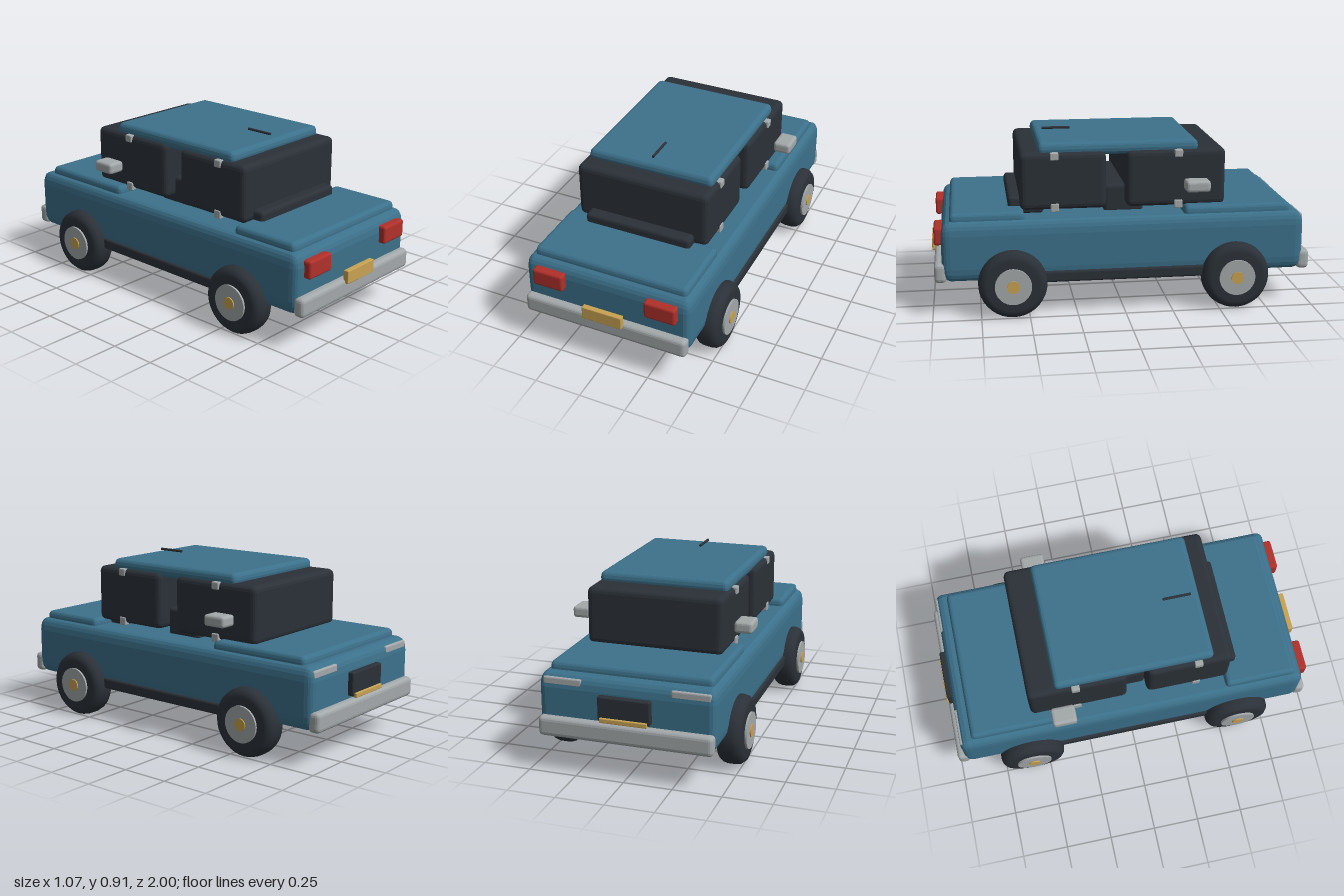
import * as THREE from 'three';
import { RoundedBoxGeometry } from 'three/addons/geometries/RoundedBoxGeometry.js';

const mat = (name, color) => {
  const m = new THREE.MeshStandardMaterial({ color });
  m.name = name;
  return m;
};

export function createModel() {
  const car = new THREE.Group();
  car.name = 'car';
  const blue = mat('body blue', 0x3c718b);
  const dark = mat('charcoal', 0x2b3138);
  const grey = mat('metal grey', 0xa3a8aa);
  const red = mat('lamp red', 0xb0302a);
  const gold = mat('brass', 0xc8a252);

  // Bevelled box given by its extents; r holds the bevel size along each axis
  function box(name, material, [x0, x1], [y0, y1], [z0, z1], r) {
    const [rx, ry, rz] = Array.isArray(r) ? r : [r, r, r];
    const geo = new RoundedBoxGeometry((x1 - x0) / rx, (y1 - y0) / ry, (z1 - z0) / rz, 2, 1);
    geo.scale(rx, ry, rz);
    geo.computeVertexNormals();
    const mesh = new THREE.Mesh(geo, material);
    mesh.name = name;
    mesh.position.set((x0 + x1) / 2, (y0 + y1) / 2, (z0 + z1) / 2);
    car.add(mesh);
    return mesh;
  }
  // The same box on both sides of the car
  function pair(name, material, [x0, x1], y, z, r) {
    box(name + 'Left', material, [x0, x1], y, z, r);
    box(name + 'Right', material, [-x1, -x0], y, z, r);
  }

  // Body shell with raised hood and trunk lids
  box('body', blue, [-0.457, 0.457], [0.19, 0.505], [-0.955, 0.945], [0.035, 0.07, 0.045]);
  box('hood', blue, [-0.422, 0.422], [0.47, 0.546], [-0.885, -0.32], [0.022, 0.03, 0.025]);
  box('trunkLid', blue, [-0.422, 0.422], [0.47, 0.546], [0.515, 0.9], [0.022, 0.03, 0.025]);
  pair('sill', dark, [0.41, 0.467], [0.175, 0.235], [-0.5, 0.5], 0.012);

  // Cabin: two dark glass blocks, the seat between them, rear shelf and roof
  box('frontCabin', dark, [-0.363, 0.363], [0.535, 0.838], [-0.547, -0.02], 0.03);
  box('rearCabin', dark, [-0.367, 0.367], [0.535, 0.838], [0.085, 0.535], 0.03);
  box('seat', dark, [-0.29, 0.29], [0.49, 0.645], [-0.12, 0.09], 0.02);
  box('rearShelf', dark, [-0.295, 0.295], [0.5, 0.595], [0.41, 0.595], 0.02);
  box('roof', blue, [-0.347, 0.347], [0.815, 0.885], [-0.403, 0.438], [0.025, 0.033, 0.025]);

  // Pillar clips above and below the side glass
  for (const z of [-0.295, 0.355]) {
    pair('upperClip', grey, [0.34, 0.372], [0.798, 0.838], [z - 0.022, z + 0.022], 0.006);
    pair('lowerClip', grey, [0.34, 0.372], [0.525, 0.57], [z - 0.022, z + 0.022], 0.006);
  }

  pair('mirror', grey, [0.392, 0.488], [0.633, 0.693], [-0.443, -0.315], 0.016);

  // Roof antenna
  const antenna = new THREE.Mesh(new THREE.CylinderGeometry(0.007, 0.007, 0.15, 10), dark);
  antenna.name = 'antenna';
  antenna.rotation.x = Math.PI / 2;
  antenna.position.set(0, 0.901, 0.317);
  car.add(antenna);

  // Bumpers
  box('rearBumper', grey, [-0.45, 0.45], [0.187, 0.29], [0.922, 0.985], 0.022);
  box('frontBumper', grey, [-0.45, 0.45], [0.187, 0.29], [-0.993, -0.928], 0.022);

  // Lamps, grille and plates
  pair('tailLamp', red, [0.225, 0.395], [0.375, 0.47], [0.93, 0.982], 0.013);
  pair('headLamp', grey, [0.23, 0.43], [0.375, 0.488], [-0.952, -0.9], 0.008);
  box('grille', dark, [-0.135, 0.135], [0.305, 0.427], [-0.985, -0.94], 0.008);
  box('grilleTrim', gold, [-0.122, 0.122], [0.298, 0.322], [-0.998, -0.975], 0.004);
  box('rearPlate', gold, [-0.11, 0.11], [0.267, 0.337], [0.97, 1.0], 0.004);

  // Wheels: lathed tyre, metal disc and brass cap, all along +x
  const tyreProfile = [[0.001, -0.065], [0.135, -0.065], [0.158, -0.06], [0.173, -0.042], [0.178, -0.02],
    [0.178, 0.02], [0.173, 0.042], [0.158, 0.06], [0.135, 0.065], [0.001, 0.065]]
    .map(([r, h]) => new THREE.Vector2(r, h));
  const tyreGeo = new THREE.LatheGeometry(tyreProfile, 36);
  const discGeo = new THREE.CylinderGeometry(0.095, 0.095, 0.03, 32);
  const capGeo = new THREE.CylinderGeometry(0.033, 0.033, 0.03, 20);

  for (const side of [1, -1]) {
    for (const z of [-0.585, 0.585]) {
      const wheel = new THREE.Group();
      wheel.name = (z < 0 ? 'front' : 'rear') + 'Wheel';
      for (const [name, geo, material, offset] of [
        ['tyre', tyreGeo, dark, 0], ['disc', discGeo, grey, 0.061], ['cap', capGeo, gold, 0.067]]) {
        const mesh = new THREE.Mesh(geo, material);
        mesh.name = name;
        mesh.position.y = offset;
        wheel.add(mesh);
      }
      wheel.rotation.z = -side * Math.PI / 2;
      wheel.position.set(side * 0.455, 0.179, z);
      car.add(wheel);
    }
  }
  return car;
}
